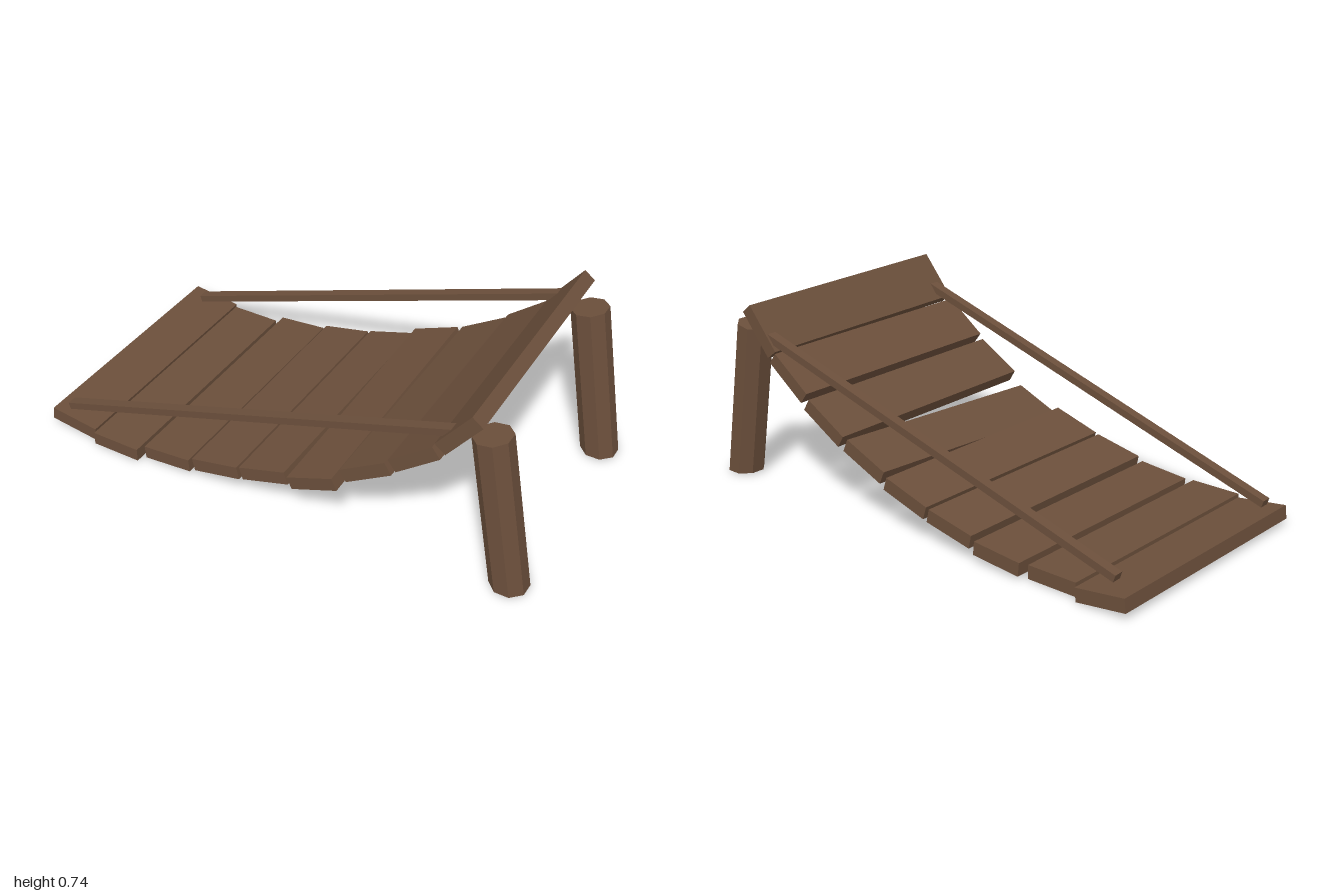
import * as THREE from 'three';

const V = (x, y, z) => new THREE.Vector3(x, y, z);

export function createModel() {
  const group = new THREE.Group();
  const wood = new THREE.MeshStandardMaterial({ color: 0x6b4f3b, flatShading: true });
  wood.name = 'brown wood';

  const add = (name, geometry) => {
    const mesh = new THREE.Mesh(geometry, wood);
    mesh.name = name;
    group.add(mesh);
    return mesh;
  };

  // Sagging row of planks: x, y, z, slope, twist about x, twist about y
  const planks = [
    [-0.893, 0.044, -0.003, -0.13, 0, 0],
    [-0.675, 0.035, 0.02, 0, 0, 0],
    [-0.45, 0.053, -0.004, 0.09, 0, 0],
    [-0.23, 0.1, -0.004, 0.21, 0, 0.005],
    [-0.02, 0.157, -0.006, 0.3, 0, 0.005],
    [0.18, 0.225, -0.012, 0.39, 0.045, 0.005],
    [0.39, 0.348, -0.014, 0.54, -0.004, 0.017],
    [0.573, 0.483, -0.016, 0.65, -0.005, 0.017],
    [0.722, 0.64, -0.024, 0.9, -0.01, 0.028],
  ];
  planks.forEach(([x, y, z, slope, rx, ry], i) => {
    const plank = add(`plank${i + 1}`, new THREE.BoxGeometry(0.203, 0.052, 0.99));
    plank.position.set(x, y, z);
    plank.rotation.set(rx, ry, slope, 'YXZ');
  });

  // Straight rails from the low end up to the last plank
  const rail = (name, a, b) => {
    const bar = add(name, new THREE.BoxGeometry(0.04, 0.028, a.distanceTo(b)));
    bar.position.copy(a).add(b).multiplyScalar(0.5);
    bar.lookAt(b);
  };
  rail('frontRail', V(-0.935, 0.093, 0.44), V(0.7, 0.625, 0.425));
  rail('backRail', V(-0.905, 0.103, -0.42), V(0.7, 0.625, -0.49));

  // Leaning eight-sided posts, with the foot cut level with the ground
  const lean = 0.167, length = 0.63;
  const post = (name, x, z) => {
    const geometry = new THREE.CylinderGeometry(0.072, 0.072, length, 8);
    geometry.rotateY(Math.PI / 8);
    const p = geometry.attributes.position;
    for (let i = 0; i < p.count; i++) {
      if (p.getY(i) < 0) p.setY(i, p.getY(i) - p.getX(i) * Math.tan(lean));
    }
    geometry.computeVertexNormals();
    const mesh = add(name, geometry);
    mesh.position.set(x, 0.322, z);
    mesh.rotation.z = lean;
  };
  post('frontPost', 0.875, 0.392);
  post('backPost', 0.865, -0.445);

  return group;
}
